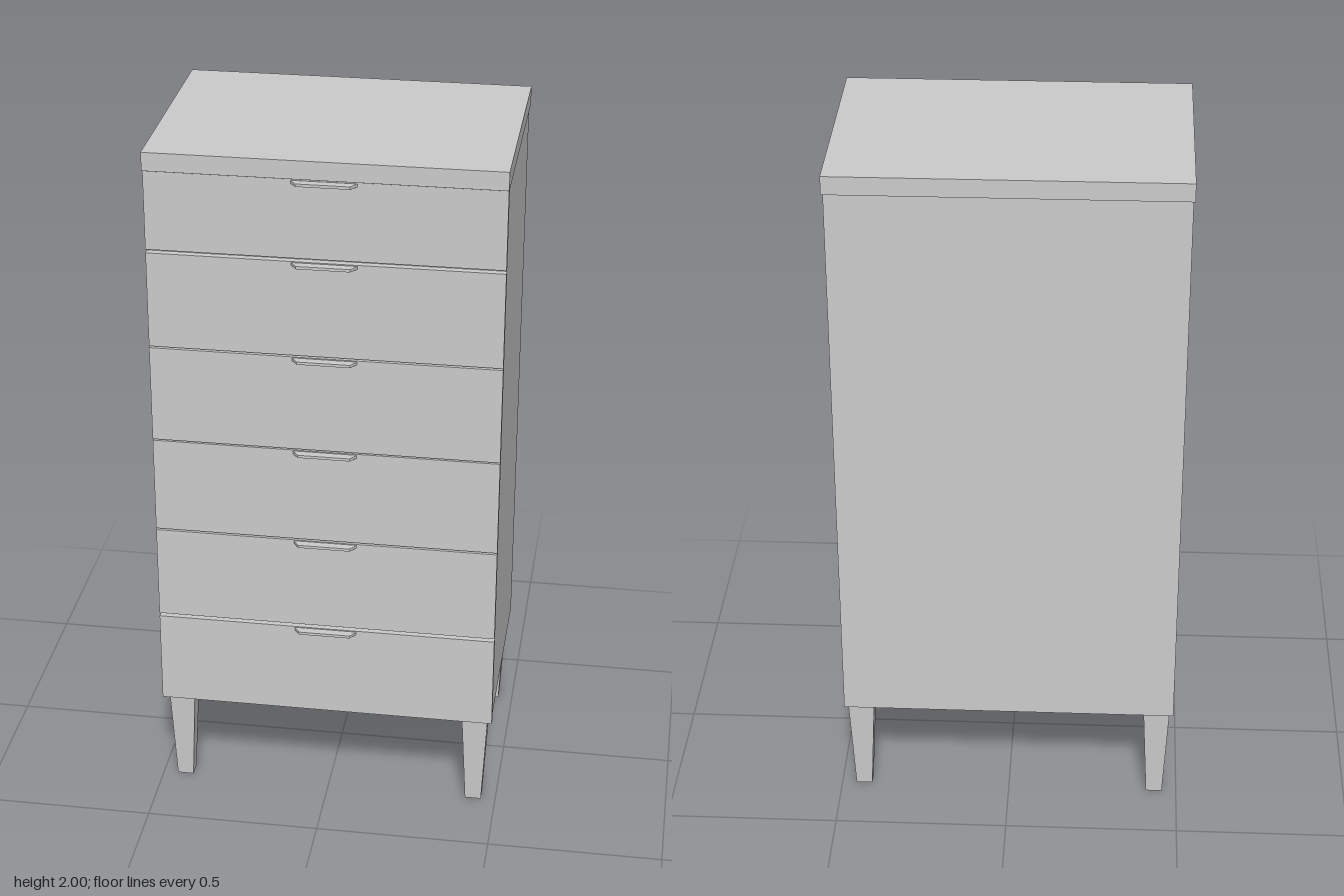
import * as THREE from 'three';

export function createModel() {
  const model = new THREE.Group();
  const material = new THREE.MeshStandardMaterial({ color: 0xcccccc, flatShading: true });

  const add = (name, geometry, x, y, z) => {
    const mesh = new THREE.Mesh(geometry, material);
    mesh.name = name;
    mesh.position.set(x, y, z);
    model.add(mesh);
    return mesh;
  };
  // Box given by its width, bottom, top, back and front
  const slab = (name, width, y0, y1, z0, z1) =>
    add(name, new THREE.BoxGeometry(width, y1 - y0, z1 - z0), 0, (y0 + y1) / 2, (z0 + z1) / 2);

  // Carcass and overhanging top
  slab('carcass', 0.966, 0.293, 1.95, -0.335, 0.3);
  slab('topPanel', 0.974, 1.948, 2, -0.346, 0.329);

  // Pull tab: thin plate with slanted ends
  const tab = new THREE.Shape([
    new THREE.Vector2(-0.09, 0),
    new THREE.Vector2(0.09, 0),
    new THREE.Vector2(0.089, -0.021),
    new THREE.Vector2(0.073, -0.044),
    new THREE.Vector2(-0.073, -0.044),
    new THREE.Vector2(-0.089, -0.021),
  ]);
  const handleGeometry = new THREE.ExtrudeGeometry(tab, { depth: 0.008, bevelEnabled: false });
  handleGeometry.rotateX(-Math.PI / 2);

  // Drawer fronts [bottom, top], each with a pull just below its top edge
  const drawers = [
    [0.295, 0.573], [0.583, 0.859], [0.864, 1.145],
    [1.149, 1.43], [1.435, 1.711], [1.721, 1.945],
  ];
  for (const [bottom, top] of drawers) {
    slab('drawerFront', 0.972, bottom, top, 0.302, 0.322);
    add('drawerHandle', handleGeometry, 0, top - 0.011, 0.302);
  }

  // Tapered square legs
  const legHeight = 0.295;
  const legGeometry = new THREE.BoxGeometry(0.076, legHeight, 0.066);
  const p = legGeometry.attributes.position;
  for (let i = 0; i < p.count; i++) {
    if (p.getY(i) < 0) {
      p.setX(i, p.getX(i) * 0.62);
      p.setZ(i, p.getZ(i) * 0.65);
    }
  }
  legGeometry.computeVertexNormals();
  for (const x of [-0.434, 0.434]) {
    add('frontLeg', legGeometry, x, legHeight / 2, 0.259);
    add('backLeg', legGeometry, x, legHeight / 2, -0.293);
  }

  return model;
}
